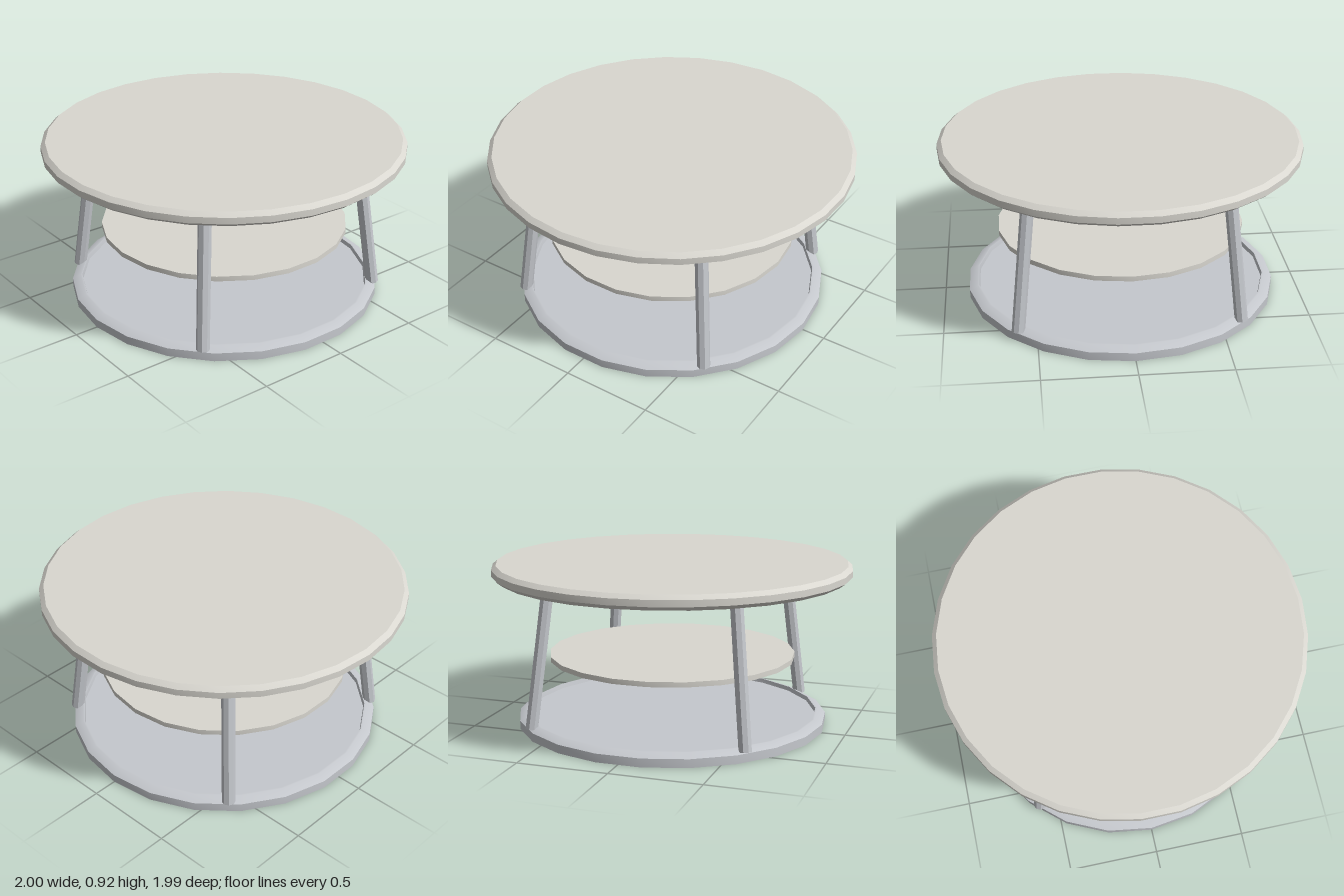
import * as THREE from 'three';
import { toCreasedNormals } from 'three/addons/utils/BufferGeometryUtils.js';

const cream = new THREE.MeshStandardMaterial({ color: 0xd9d7d0 });
const metal = new THREE.MeshStandardMaterial({ color: 0xc5c8cd });

// Round part turned from a [radius, height] profile, listed bottom to top on the outside
function turned(name, profile, sides, material, start = 0) {
  const points = profile.map(([r, y]) => new THREE.Vector2(r, y));
  const geometry = new THREE.LatheGeometry(points, sides, start);
  const mesh = new THREE.Mesh(toCreasedNormals(geometry, Math.PI / 6), material);
  mesh.name = name;
  return mesh;
}

// Straight eight-sided rod between two points
function rod(name, from, to, radius, material) {
  const direction = to.clone().sub(from);
  const geometry = new THREE.CylinderGeometry(radius, radius, direction.length(), 8);
  const mesh = new THREE.Mesh(toCreasedNormals(geometry, Math.PI / 6), material);
  mesh.position.copy(from).add(to).multiplyScalar(0.5);
  mesh.quaternion.setFromUnitVectors(new THREE.Vector3(0, 1, 0), direction.normalize());
  mesh.name = name;
  return mesh;
}

export function createModel() {
  const table = new THREE.Group();
  table.name = 'roundTable';

  // Tabletop with bevelled rim
  table.add(turned('tabletop', [
    [0, 0.835], [0.97, 0.835], [1, 0.858], [1, 0.893], [0.975, 0.915], [0, 0.915],
  ], 30, cream, Math.PI / 2));

  // Thin ring under the tabletop
  table.add(turned('supportRing', [
    [0.71, 0.835], [0.71, 0.805], [0.735, 0.805], [0.735, 0.835],
  ], 22, metal));

  // Middle shelf
  table.add(turned('shelf', [
    [0, 0.372], [0.69, 0.372], [0.69, 0.4], [0, 0.4],
  ], 22, cream));

  // Base tray: bevelled rim around a shallow floor
  table.add(turned('base', [
    [0, 0], [0.87, 0], [0.87, 0.047], [0.825, 0.07], [0.815, 0.07], [0.81, 0.047], [0, 0.047],
  ], 22, metal));

  // Four legs leaning inwards
  const legs = new THREE.Group();
  legs.name = 'legs';
  for (const [x, sideName] of [[1, 'Left'], [-1, 'Right']]) {
    for (const [z, endName] of [[1, 'front'], [-1, 'back']]) {
      const foot = new THREE.Vector3(0.6 * x, 0.052, 0.6 * z);
      const head = new THREE.Vector3(0.523 * x, 0.808, 0.523 * z);
      legs.add(rod(endName + sideName + 'Leg', foot, head, 0.036, metal));
    }
  }
  table.add(legs);
  return table;
}
